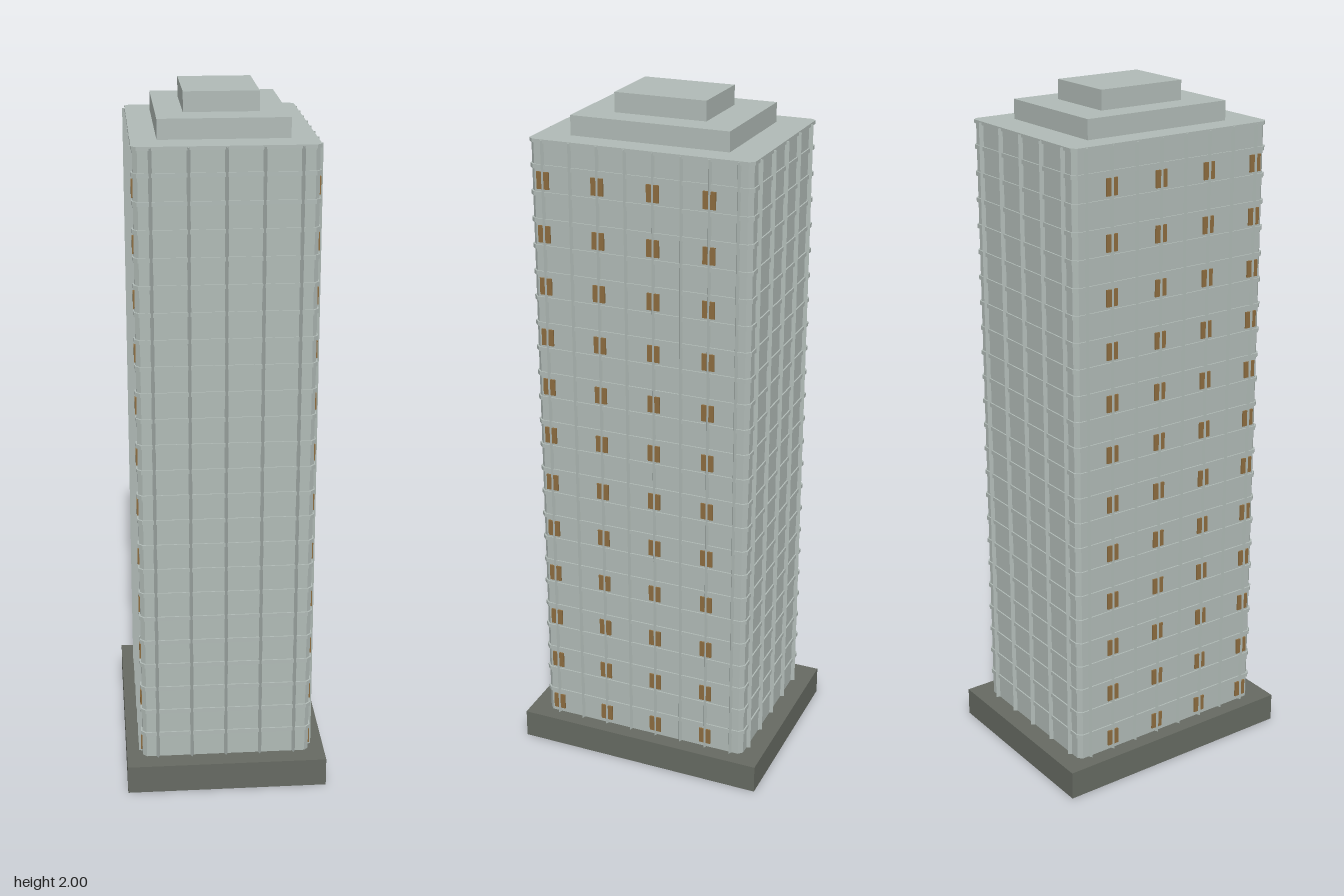
import * as THREE from 'three';
import { mergeGeometries } from 'three/addons/utils/BufferGeometryUtils.js';

const wall = new THREE.MeshStandardMaterial({ color: 0xb0bab6, name: 'pale wall' });
const stone = new THREE.MeshStandardMaterial({ color: 0x666a62, name: 'dark stone' });
const glow = new THREE.MeshStandardMaterial({ color: 0x8c6c3f, name: 'amber window' });

const BASE_TOP = 0.085, ROOF = 1.89, FLOORS = 24;
const PITCH = (ROOF - BASE_TOP) / FLOORS;
const HX = 0.245, HZ = 0.319;

// Box given by half sizes and its bottom and top heights
function block(hx, hz, y0, y1) {
  return new THREE.BoxGeometry(hx * 2, y1 - y0, hz * 2).translate(0, (y0 + y1) / 2, 0);
}

// Upright prism with an outline of [x, z] points
function prism(points, y0, y1) {
  const shape = new THREE.Shape(points.map(([x, z]) => new THREE.Vector2(x, -z)));
  return new THREE.ExtrudeGeometry(shape, { depth: y1 - y0, bevelEnabled: false })
    .rotateX(-Math.PI / 2).translate(0, y0, 0);
}

// Rectangular slab with cut corners
function cutSlab(hx, hz, cut, y0, y1) {
  return prism([
    [hx, hz - cut], [hx - cut, hz], [cut - hx, hz], [-hx, hz - cut],
    [-hx, cut - hz], [cut - hx, -hz], [hx - cut, -hz], [hx, cut - hz],
  ], y0, y1);
}

export function createModel() {
  const tower = new THREE.Group();
  tower.name = 'tower';
  const add = (name, geometry, material) => {
    const mesh = new THREE.Mesh(geometry, material);
    mesh.name = name;
    tower.add(mesh);
  };

  // Plinth, shaft and stepped crown
  add('plinth', block(0.2915, 0.377, 0, BASE_TOP), stone);
  add('shaft', cutSlab(HX, HZ, 0.012, 0.02, ROOF - 0.01), wall);
  add('roofSlab', cutSlab(HX + 0.004, HZ + 0.004, 0.013, ROOF - 0.01, ROOF), wall);
  add('lowerCrown', block(0.178, 0.229, ROOF, 1.945), wall);
  add('upperCrown', block(0.103, 0.133, 1.945, 2), wall);

  // Thin ledge at every floor
  const ledges = [];
  for (let i = 1; i < FLOORS; i++) {
    const y = BASE_TOP + i * PITCH;
    ledges.push(cutSlab(HX + 0.004, HZ + 0.004, 0.013, y - 0.006, y + 0.006));
  }
  add('floorLedges', mergeGeometries(ledges), wall);

  // Pointed vertical ribs on all four faces
  const ribs = [];
  const rib = (angle, along, out) => ribs.push(
    prism([[-0.005, 0], [0.005, 0], [0, 0.011]], BASE_TOP, ROOF - 0.003)
      .translate(along, 0, out).rotateY(angle));
  for (const side of [0, 1]) {
    for (let i = 0; i < 5; i++) rib(side * Math.PI, (i - 2) * 0.1, HZ);
    for (let i = 0; i < 8; i++) rib(Math.PI / 2 + side * Math.PI, (i - 3.5) * 0.0805, HX);
  }
  add('verticalRibs', mergeGeometries(ribs), wall);

  // Lit windows on the long sides, every second floor and rib
  const windows = [];
  for (const x of [-HX, HX])
    for (let row = 0; row < FLOORS; row += 2)
      for (let col = 0; col < 4; col++)
        windows.push(new THREE.BoxGeometry(0.009, 0.048, 0.036)
          .translate(x, BASE_TOP + (row + 0.5) * PITCH, (col * 2 - 2.5) * 0.0805));
  add('litWindows', mergeGeometries(windows), glow);

  // Slight twist of the whole building
  tower.rotation.y = -0.0095;
  const model = new THREE.Group();
  model.name = 'skyscraper';
  model.add(tower);
  return model;
}
